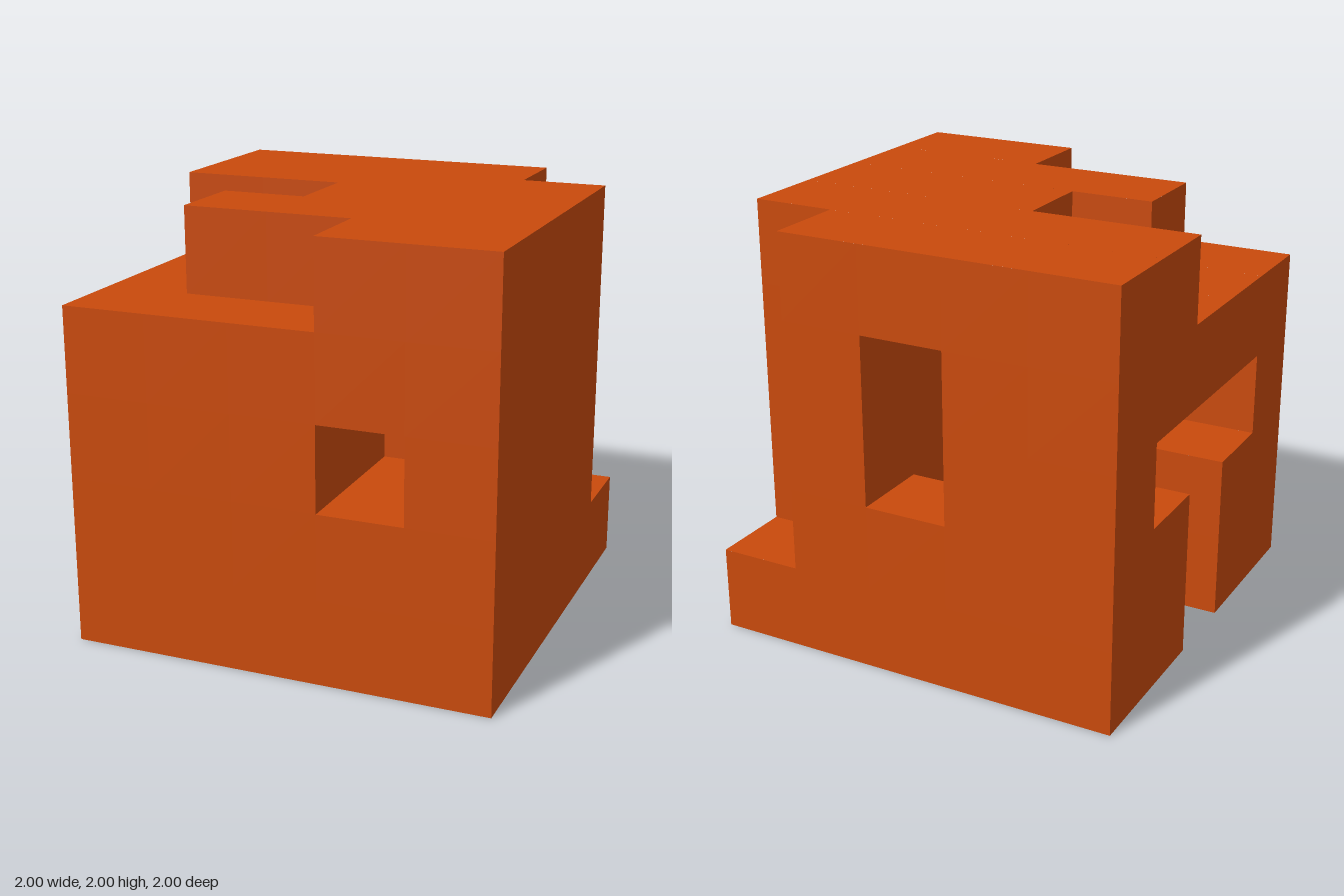
import * as THREE from 'three';
import { mergeGeometries } from 'three/addons/utils/BufferGeometryUtils.js';

const N = 5;          // cells along each side
const CELL = 2 / N;   // cell size

// Blocks cut from the solid cube: first and last cell as [x, y, z], inclusive
const CUTS = {
  cornerNotch: [[4, 1, 0], [4, 4, 0]],
  topStepFront: [[0, 4, 4], [2, 4, 4]],
  topStepMiddle: [[0, 4, 3], [0, 4, 3]],
  topStepRear: [[0, 4, 2], [1, 4, 2]],
  frontWindow: [[3, 2, 3], [3, 2, 4]],
  backWindow: [[2, 2, 0], [2, 3, 0]],
  innerShaft: [[2, 0, 1], [2, 3, 1]],
  bottomSlot: [[2, 0, 1], [2, 0, 3]],
  sideSlotAcross: [[0, 2, 1], [0, 2, 3]],
  sideSlotDown: [[0, 0, 2], [0, 1, 2]],
};

const isSolid = (cell) =>
  cell.every((c) => c >= 0 && c < N) &&
  !Object.values(CUTS).some(([lo, hi]) => cell.every((c, a) => c >= lo[a] && c <= hi[a]));

// One square face of a cell, turned outward along the given direction
function cellFace([x, y, z], dir) {
  const n = new THREE.Vector3(...dir);
  const face = new THREE.PlaneGeometry(CELL, CELL).lookAt(n);
  const mid = (N - 1) / 2;
  return face.translate(
    (x - mid + n.x / 2) * CELL,
    (y + 0.5 + n.y / 2) * CELL,
    (z - mid + n.z / 2) * CELL
  );
}

export function createModel() {
  const group = new THREE.Group();
  group.name = 'carvedCube';
  const orange = new THREE.MeshStandardMaterial({ color: 0xc94a0c });
  orange.name = 'burnt orange';

  // Keep only the faces between a solid cell and an empty one
  const dirs = [[1, 0, 0], [-1, 0, 0], [0, 1, 0], [0, -1, 0], [0, 0, 1], [0, 0, -1]];
  const faces = [];
  for (let x = 0; x < N; x++)
    for (let y = 0; y < N; y++)
      for (let z = 0; z < N; z++) {
        const cell = [x, y, z];
        if (!isSolid(cell)) continue;
        for (const dir of dirs)
          if (!isSolid(cell.map((c, a) => c + dir[a]))) faces.push(cellFace(cell, dir));
      }

  const body = new THREE.Mesh(mergeGeometries(faces), orange);
  body.name = 'cubeBody';
  group.add(body);
  return group;
}
